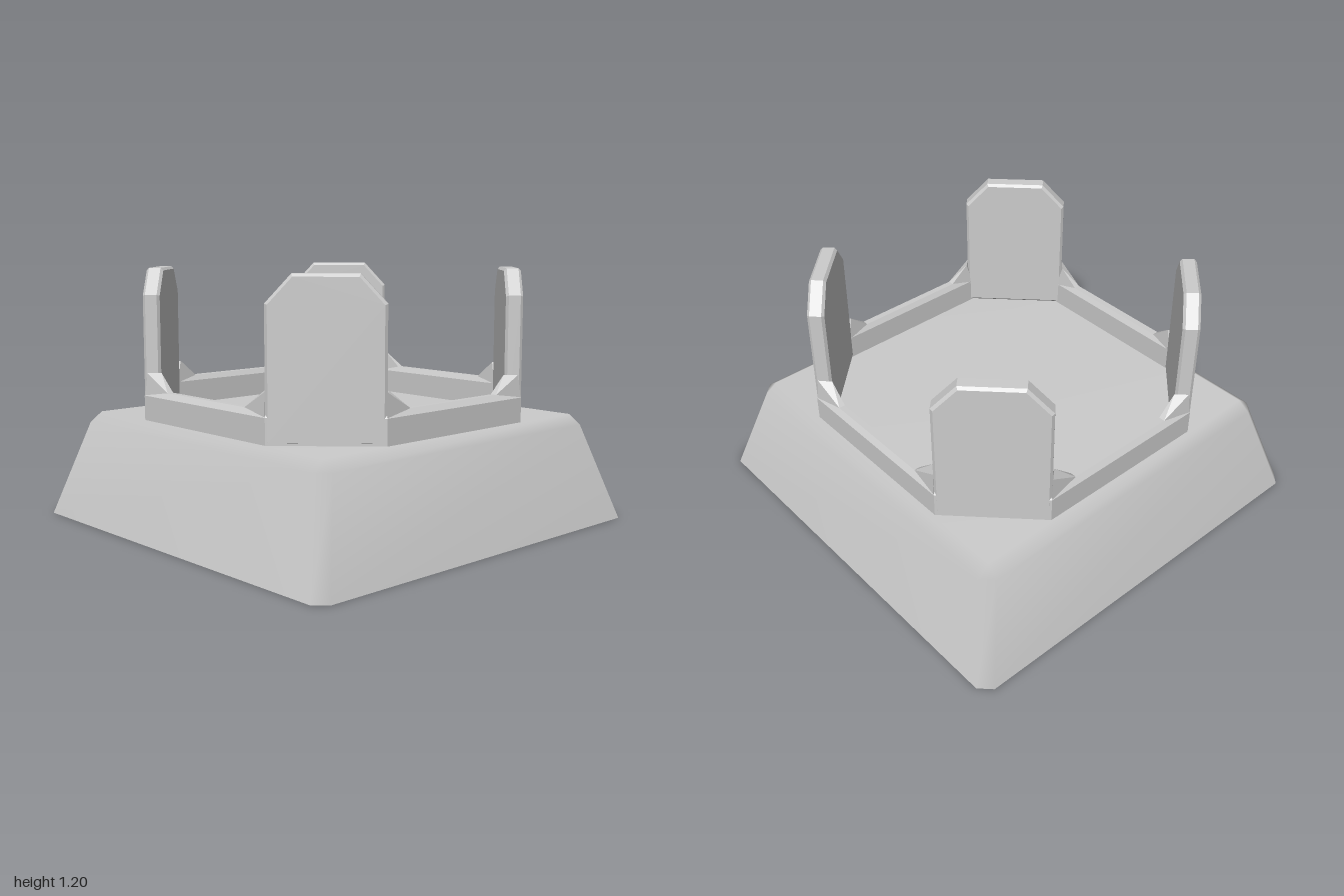
import * as THREE from 'three';
import { mergeVertices } from 'three/addons/utils/BufferGeometryUtils.js';
import { ConvexGeometry } from 'three/addons/geometries/ConvexGeometry.js';

const flat = new THREE.MeshStandardMaterial({ color: 0xcccccc, flatShading: true });
const shell = new THREE.MeshStandardMaterial({ color: 0xcccccc, side: THREE.DoubleSide });

// Square with cut corners: half width d, straight side ends at c; counter-clockwise from above
function cutSquare(d, c, y) {
  return [[d, c], [d, -c], [c, -d], [-c, -d], [-d, -c], [-d, c], [-c, d], [c, d]]
    .map(([x, z]) => [x, y, z]);
}

// Joins eight-point rings, listed bottom to top on the outside, into one surface
function skin(rings, cap) {
  const n = 8, index = [];
  for (let r = 0; r < rings.length - 1; r++) {
    for (let i = 0; i < n; i++) {
      const a = r * n + i, b = r * n + (i + 1) % n;
      index.push(a, b, b + n, a, b + n, a + n);
    }
  }
  if (cap) {
    const t = (rings.length - 1) * n;
    for (let i = 1; i < n - 1; i++) index.push(t, t + i, t + i + 1);
  }
  const g = new THREE.BufferGeometry();
  g.setAttribute('position', new THREE.Float32BufferAttribute(rings.flat(2), 3));
  g.setIndex(index);
  return g;
}

function addMesh(parent, name, geometry, material) {
  const mesh = new THREE.Mesh(geometry, material);
  mesh.name = name;
  parent.add(mesh);
  return mesh;
}

export function createModel() {
  const model = new THREE.Group();
  model.name = 'pedestal';

  // Hollow tapered base, open below, with soft bevelled edges
  const base = mergeVertices(skin([
    cutSquare(1, 0.945, 0),
    cutSquare(0.86, 0.805, 0.455),
    cutSquare(0.8, 0.8, 0.5),
  ], true));
  base.computeVertexNormals();
  addMesh(model, 'base', base, shell);

  // Low eight-sided rail with a bevelled top
  const profile = [[0.79, 0.5], [0.79, 0.615], [0.77, 0.64], [0.74, 0.64], [0.725, 0.615], [0.725, 0.5]];
  const corner = d => 0.437 - (0.79 - d) * Math.tan(Math.PI / 8);
  const rail = skin(profile.map(([d, y]) => cutSquare(d, corner(d), y)), false).toNonIndexed();
  rail.computeVertexNormals();
  addMesh(model, 'rail', rail, flat);

  // Upright posts with clipped shoulders on the four diagonals
  const outline = new THREE.Shape([
    [-0.25, 0.5], [0.25, 0.5], [0.25, 1.08], [0.14, 1.2], [-0.14, 1.2], [-0.25, 1.08],
  ].map(([x, y]) => new THREE.Vector2(x, y)));
  const bevel = 0.012, thickness = 0.078, reach = 0.868;
  const postGeometry = new THREE.ExtrudeGeometry(outline, {
    depth: thickness - 2 * bevel, bevelEnabled: true, bevelSegments: 1,
    bevelSize: bevel, bevelThickness: bevel, bevelOffset: -bevel,
  });
  postGeometry.translate(0, 0, reach - thickness + bevel);
  for (let i = 0; i < 4; i++) {
    addMesh(model, 'post', postGeometry, flat).rotation.y = Math.PI / 4 + i * Math.PI / 2;
  }

  // Sloped gussets where the rail meets each side of a post
  const gusset = [
    [0.28, 0.64, 0.74], [0.28, 0.64, 0.77], [0.435, 0.6, 0.79],
    [0.405, 0.6, 0.722], [0.375, 0.72, 0.735], [0.425, 0.72, 0.78],
  ];
  for (let i = 0; i < 4; i++) {
    for (const s of [1, -1]) {
      const points = gusset.map(([x, y, z]) => new THREE.Vector3(s * x, y, z));
      addMesh(model, 'gusset', new ConvexGeometry(points), flat).rotation.y = i * Math.PI / 2;
    }
  }
  return model;
}
